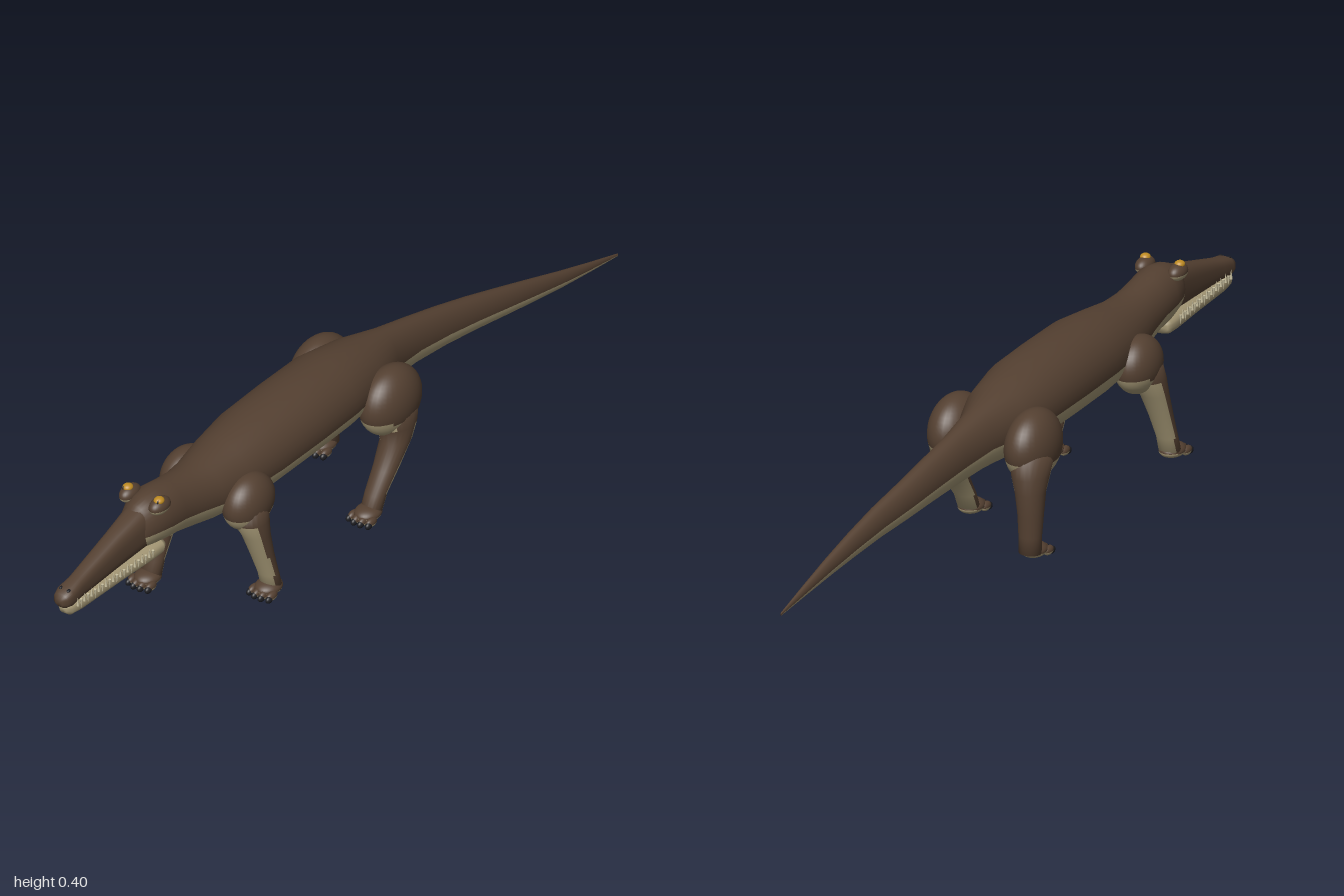
import * as THREE from 'three';

const mat = (name, color, opts = {}) => {
  const m = new THREE.MeshStandardMaterial({ color, ...opts });
  m.name = name;
  return m;
};

export function createModel() {
  const hide = mat('brown hide', 0x544031);
  const belly = mat('pale belly', 0xa39674);
  const amber = mat('amber eye', 0xbd8a22);
  const dark = mat('dark claw', 0x1e1e22);
  const ivory = mat('ivory tooth', 0xc9c0a0);
  const model = new THREE.Group();
  model.name = 'crocodilian';

  const add = (name, geo, material, parent = model) => {
    const m = new THREE.Mesh(geo, material);
    m.name = name;
    parent.add(m);
    return m;
  };

  // Countershading: faces turned down past the limit go pale, the rest brown
  function addSkin(name, geo, limit = -0.12, parent = model) {
    const p = geo.attributes.position, src = geo.index.array, up = [], down = [];
    const tri = new THREE.Triangle(), n = new THREE.Vector3();
    for (let i = 0; i < src.length; i += 3) {
      tri.setFromAttributeAndIndices(p, src[i], src[i + 1], src[i + 2]);
      tri.getNormal(n);
      (n.y < limit ? down : up).push(src[i], src[i + 1], src[i + 2]);
    }
    geo.setIndex(up.concat(down));
    geo.clearGroups();
    geo.addGroup(0, up.length, 0);
    geo.addGroup(up.length, down.length, 1);
    return add(name, geo, [hide, belly], parent);
  }

  // Closed skin through a list of rings; point(ring, cos, sin) places a vertex
  function loft(rings, point, sides = 32) {
    const pos = [], idx = [], last = rings.length - 1;
    rings.forEach(r => {
      for (let j = 0; j < sides; j++) {
        const t = (j / sides) * Math.PI * 2;
        pos.push(...point(r, Math.cos(t), Math.sin(t)));
      }
    });
    pos.push(...point(rings[0], 0, 0), ...point(rings[last], 0, 0));
    const c0 = rings.length * sides;
    for (let j = 0; j < sides; j++) {
      const k = (j + 1) % sides;
      for (let i = 0; i < last; i++) {
        const a = i * sides + j, c = i * sides + k;
        idx.push(a, a + sides, c, a + sides, c + sides, c);
      }
      idx.push(c0, j, k, c0 + 1, last * sides + k, last * sides + j);
    }
    const g = new THREE.BufferGeometry();
    g.setAttribute('position', new THREE.Float32BufferAttribute(pos, 3));
    g.setIndex(idx);
    g.computeVertexNormals();
    return g;
  }

  // Rings across the length: [z, centre x, top, bottom, half width], front to back
  const across = ([z, cx, top, bot, w], c, s) =>
    [cx + w * c, (top + bot) / 2 + ((top - bot) / 2) * s, z];
  const boxy = v => Math.sign(v) * Math.abs(v) ** 0.75;
  const acrossBoxy = (r, c, s) => across(r, boxy(c), boxy(s));
  // Rings down a leg: [x, y, z, half width, half depth], top to bottom
  const downward = ([x, y, z, rx, rz], c, s) => [x + rx * c, y, z - rz * s];

  const ball = (x, y, z, rx, ry, rz) =>
    new THREE.SphereGeometry(1, 32, 24).scale(rx, ry, rz).translate(x, y, z);

  // Head, trunk and curving tail
  addSkin('body', loft([
    [0.735, 0, 0.36, 0.268, 0.03], [0.715, 0, 0.374, 0.262, 0.042],
    [0.69, 0, 0.385, 0.258, 0.052], [0.65, 0, 0.39, 0.252, 0.06],
    [0.60, 0, 0.382, 0.243, 0.058], [0.54, 0, 0.373, 0.228, 0.061],
    [0.48, 0, 0.371, 0.215, 0.072], [0.40, 0, 0.381, 0.207, 0.088],
    [0.29, 0, 0.395, 0.205, 0.1], [0.15, 0, 0.396, 0.205, 0.102],
    [0.02, 0, 0.395, 0.205, 0.1], [-0.1, 0, 0.375, 0.207, 0.084],
    [-0.2, 0, 0.352, 0.208, 0.048], [-0.3, 0.004, 0.33, 0.206, 0.037],
    [-0.4, 0.012, 0.308, 0.2, 0.032], [-0.5, 0.022, 0.284, 0.191, 0.028],
    [-0.6, 0.035, 0.259, 0.181, 0.023], [-0.7, 0.045, 0.231, 0.169, 0.018],
    [-0.8, 0.053, 0.201, 0.157, 0.013], [-0.9, 0.058, 0.171, 0.146, 0.008],
    [-1, 0.062, 0.142, 0.135, 0.002],
  ], across));

  // Long snout and lower jaw
  addSkin('snout', loft([
    [1, 0, 0.276, 0.258, 0.01], [0.993, 0, 0.286, 0.251, 0.02],
    [0.975, 0, 0.295, 0.248, 0.025], [0.94, 0, 0.303, 0.25, 0.022],
    [0.9, 0, 0.315, 0.252, 0.024], [0.8, 0, 0.345, 0.257, 0.029],
    [0.72, 0, 0.368, 0.262, 0.036], [0.66, 0, 0.378, 0.27, 0.044],
  ], acrossBoxy), -0.8);
  add('lowerJaw', loft([
    [0.985, 0, 0.25, 0.232, 0.01], [0.975, 0, 0.254, 0.224, 0.02],
    [0.94, 0, 0.256, 0.22, 0.023], [0.8, 0, 0.258, 0.22, 0.029],
    [0.7, 0, 0.262, 0.221, 0.037], [0.66, 0, 0.265, 0.224, 0.04],
    [0.648, 0, 0.26, 0.232, 0.034],
  ], acrossBoxy), belly);

  // Teeth along both edges of the mouth, alternating down and up
  const toothGeo = new THREE.ConeGeometry(0.0035, 0.024, 6);
  for (const side of [1, -1]) for (let i = 0; i < 22; i++) {
    const z = 0.7 + i * 0.0125, upper = i % 2 === 0;
    const half = z > 0.94 ? 0.024 : 0.037 - (z - 0.7) * 0.057;
    const t = add(upper ? 'upperTooth' : 'lowerTooth', toothGeo, ivory);
    t.position.set(side * (half + 0.001), upper ? 0.248 : 0.26, z);
    if (upper) t.rotation.x = Math.PI;
  }

  // Raised eyes with slit pupils, and nostrils
  for (const s of [1, -1]) {
    addSkin('brow', ball(s * 0.042, 0.374, 0.68, 0.02, 0.02, 0.032));
    add('eye', ball(s * 0.044, 0.391, 0.685, 0.012, 0.009, 0.013), amber);
    add('pupil', ball(s * 0.048, 0.391, 0.693, 0.003, 0.006, 0.005), dark);
    add('nostril', ball(s * 0.011, 0.292, 0.978, 0.004, 0.003, 0.006), dark);
  }

  // A foot with four clawed toes; z is the ankle
  function addFoot(name, x, z) {
    const foot = new THREE.Group();
    foot.name = name;
    model.add(foot);
    addSkin('sole', ball(x, 0.02, z + 0.01, 0.03, 0.017, 0.036), -0.12, foot);
    for (let i = 0; i < 4; i++) {
      const f = (i - 1.5) / 1.5, tx = x + f * 0.025, tz = z + 0.04 - Math.abs(f) * 0.008;
      addSkin('toe', ball(tx, 0.014, tz, 0.0095, 0.011, 0.018), -0.12, foot);
      add('claw', ball(tx + f * 0.002, 0.011, tz + 0.012, 0.007, 0.009, 0.011), dark, foot);
    }
  }

  // Legs in mid stride: [name, joint ball, rings, ankle x, ankle z]
  const shoulder = s => [s * 0.088, 0.258, 0.41, 0.05, 0.068, 0.075];
  const hip = s => [s * 0.098, 0.255, -0.105, 0.058, 0.084, 0.092];
  const legs = [
    ['leftFrontLeg', shoulder(1), [
      [0.092, 0.26, 0.42, 0.044, 0.05], [0.102, 0.22, 0.42, 0.042, 0.044],
      [0.11, 0.18, 0.412, 0.034, 0.033], [0.116, 0.12, 0.397, 0.029, 0.026],
      [0.119, 0.06, 0.378, 0.026, 0.022], [0.12, 0.018, 0.367, 0.027, 0.022]], 0.12, 0.367],
    ['rightFrontLeg', shoulder(-1), [
      [-0.092, 0.26, 0.42, 0.044, 0.05], [-0.102, 0.22, 0.428, 0.042, 0.044],
      [-0.11, 0.18, 0.443, 0.034, 0.033], [-0.116, 0.12, 0.464, 0.029, 0.026],
      [-0.119, 0.06, 0.487, 0.026, 0.022], [-0.12, 0.018, 0.5, 0.027, 0.022]], -0.12, 0.5],
    ['leftHindLeg', hip(1), [
      [0.105, 0.25, -0.11, 0.048, 0.07], [0.113, 0.2, -0.11, 0.043, 0.052],
      [0.12, 0.165, -0.098, 0.035, 0.04], [0.123, 0.11, -0.058, 0.03, 0.031],
      [0.123, 0.06, -0.02, 0.026, 0.025], [0.123, 0.018, 0, 0.026, 0.023]], 0.123, 0],
    ['rightHindLeg', hip(-1), [
      [-0.105, 0.25, -0.12, 0.048, 0.07], [-0.113, 0.2, -0.145, 0.043, 0.05],
      [-0.12, 0.165, -0.16, 0.035, 0.038], [-0.123, 0.11, -0.164, 0.03, 0.03],
      [-0.123, 0.06, -0.166, 0.027, 0.026], [-0.123, 0.018, -0.165, 0.027, 0.025]], -0.123, -0.158],
  ];
  for (const [name, joint, rings, x, z] of legs) {
    addSkin(name + 'Joint', ball(...joint), -0.25);
    addSkin(name, loft(rings, downward, 24));
    addFoot(name + 'Foot', x, z);
  }
  return model;
}
